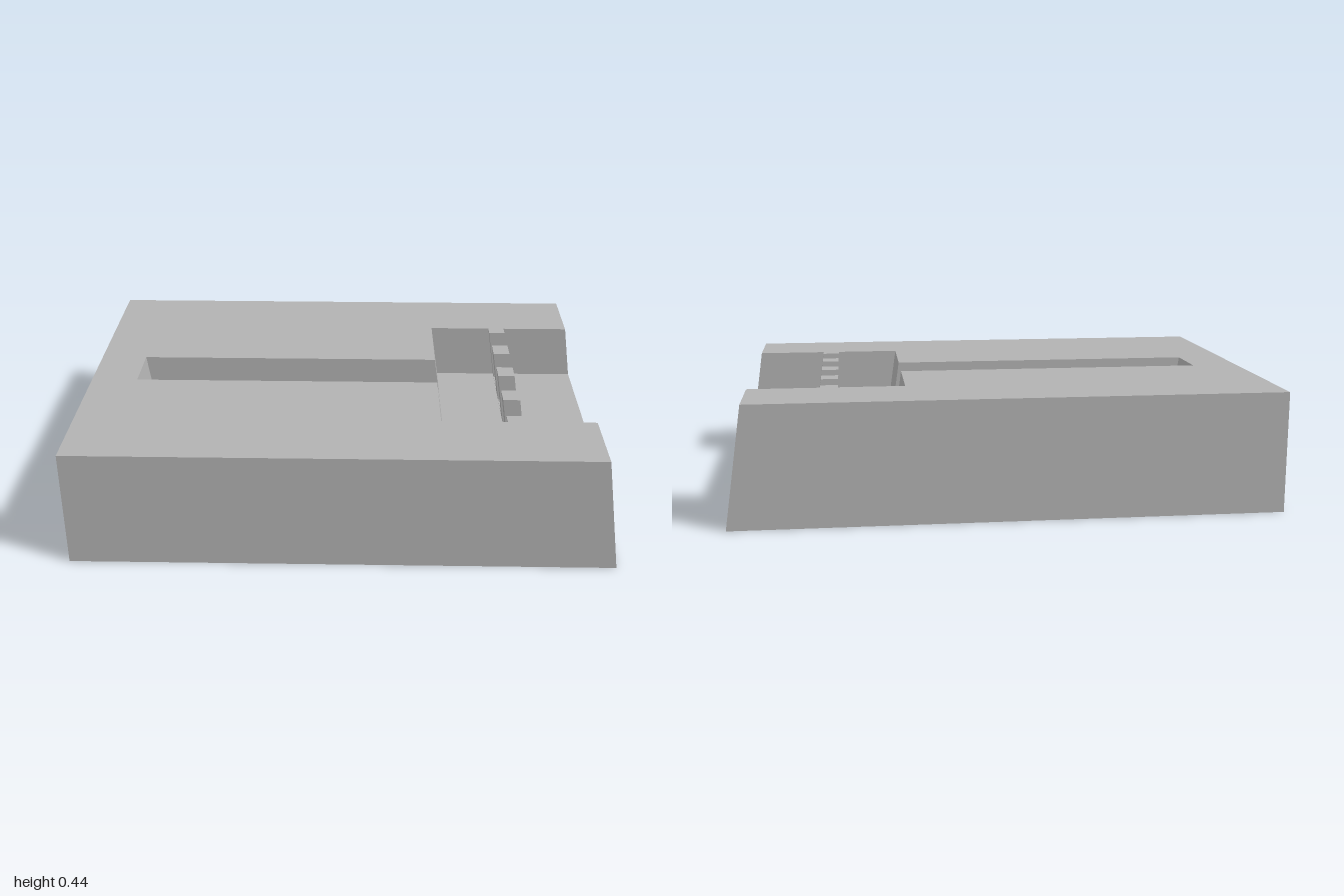
import * as THREE from 'three';
import { mergeGeometries } from 'three/addons/utils/BufferGeometryUtils.js';

// Main sizes. Plan x values are given at ground level; upright faces across x lean back with height.
const TOP = 0.445, FLOOR = 0.23, SILL = 0.235, GROOVE = 0.31, SLOPE = 0.146;
const W = 0.712, RW = 0.425, GW = 0.104; // half widths: block, recess, groove
const RX = 0.425, FB = 0.67, FF = 0.735; // recess back, comb back, comb front
const H0 = -0.757, H1 = -0.465; // drain hole ends

const lean = (x, y) => (x === -1 ? x : x - SLOPE * y);

// Upright strip along a plan polyline [x, z]; the open side is to the right of travel.
function wall(points, y0, y1) {
  const pos = [];
  for (let i = 0; i < points.length - 1; i++) {
    const [ax, az] = points[i], [bx, bz] = points[i + 1];
    const a0 = [lean(ax, y0), y0, az], b0 = [lean(bx, y0), y0, bz];
    const a1 = [lean(ax, y1), y1, az], b1 = [lean(bx, y1), y1, bz];
    pos.push(...a0, ...b0, ...b1, ...a0, ...b1, ...a1);
  }
  const g = new THREE.BufferGeometry();
  g.setAttribute('position', new THREE.Float32BufferAttribute(pos, 3));
  g.computeVertexNormals();
  return g;
}

// Level face over a plan outline, facing up or down.
function cap(points, y, { hole, down = false } = {}) {
  const toPath = (list) => list.map(([x, z]) => new THREE.Vector2(lean(x, y), down ? z : -z));
  const shape = new THREE.Shape(toPath(points));
  if (hole) shape.holes.push(new THREE.Path(toPath(hole)));
  const g = new THREE.ShapeGeometry(shape).toNonIndexed();
  g.deleteAttribute('uv');
  return g.rotateX(down ? Math.PI / 2 : -Math.PI / 2).translate(0, y, 0);
}

const rect = (x0, x1, z0, z1) => [[x0, z0], [x0, z1], [x1, z1], [x1, z0]];

export function createModel() {
  const group = new THREE.Group();
  const grey = new THREE.MeshStandardMaterial({ color: 0xb2b2b2 });
  grey.name = 'grey';
  const add = (name, parts) => {
    const mesh = new THREE.Mesh(mergeGeometries(parts), grey);
    mesh.name = name;
    group.add(mesh);
  };

  // Block: outer sides, underside with drain hole, top cut around recess and groove
  const sides = [[1, -RW], [1, -W], [-1, -W], [-1, W], [1, W], [1, RW]];
  const cutout = [
    [RX, RW], [RX, GW], [H0, GW], [H0, -GW], [RX, -GW], [RX, -RW],
  ];
  add('block', [
    wall(sides, 0, TOP),
    wall([[1, RW], [1, -RW]], 0, FLOOR),
    cap(rect(-1, 1, -W, W), 0, { hole: rect(H0, H1, -GW, GW), down: true }),
    cap([...sides, ...cutout], TOP),
  ]);

  // Groove and the drain hole at its far end
  add('groove', [
    wall([[RX, GW], [H0, GW], [H0, -GW], [RX, -GW]], GROOVE, TOP),
    cap(rect(H1, RX, -GW, GW), GROOVE),
  ]);
  add('drainHole', [
    wall([[H1, GW], [H0, GW], [H0, -GW], [H1, -GW], [H1, GW]], 0, GROOVE),
  ]);

  // Recess open at the end of the block
  add('recess', [
    cap(rect(RX, FB, -RW, RW), FLOOR),
    cap(rect(FF, 1, -RW, RW), FLOOR),
    wall([[RX, RW], [RX, GW]], FLOOR, TOP),
    wall([[RX, GW], [RX, -GW]], FLOOR, GROOVE),
    wall([[RX, -GW], [RX, -RW]], FLOOR, TOP),
    wall([[1, RW], [FF, RW]], FLOOR, TOP),
    wall([[FB, RW], [RX, RW]], FLOOR, TOP),
    wall([[FF, -RW], [1, -RW]], FLOOR, TOP),
    wall([[RX, -RW], [FB, -RW]], FLOOR, TOP),
  ]);

  // Comb: low sill with five leaning teeth, the outer two joined to the recess sides
  const teeth = [[-RW, -0.378], [-0.25, -0.167], [-0.04, 0.04], [0.167, 0.25], [0.378, RW]];
  const sill = [
    wall([[FF, RW], [FF, -RW]], FLOOR, SILL),
    wall([[FB, -RW], [FB, RW]], FLOOR, SILL),
  ];
  teeth.forEach(([z0, z1], i) => {
    const parts = [
      wall([[FF, z1], [FF, z0]], SILL, TOP),
      wall([[FB, z0], [FB, z1]], SILL, TOP),
      cap(rect(FB, FF, z0, z1), TOP),
    ];
    if (i > 0) parts.push(wall([[FF, z0], [FB, z0]], SILL, TOP));
    if (i < 4) {
      parts.push(wall([[FB, z1], [FF, z1]], SILL, TOP));
      sill.push(cap(rect(FB, FF, z1, teeth[i + 1][0]), SILL));
    }
    add('combTooth', parts);
  });
  add('combSill', sill);

  return group;
}
